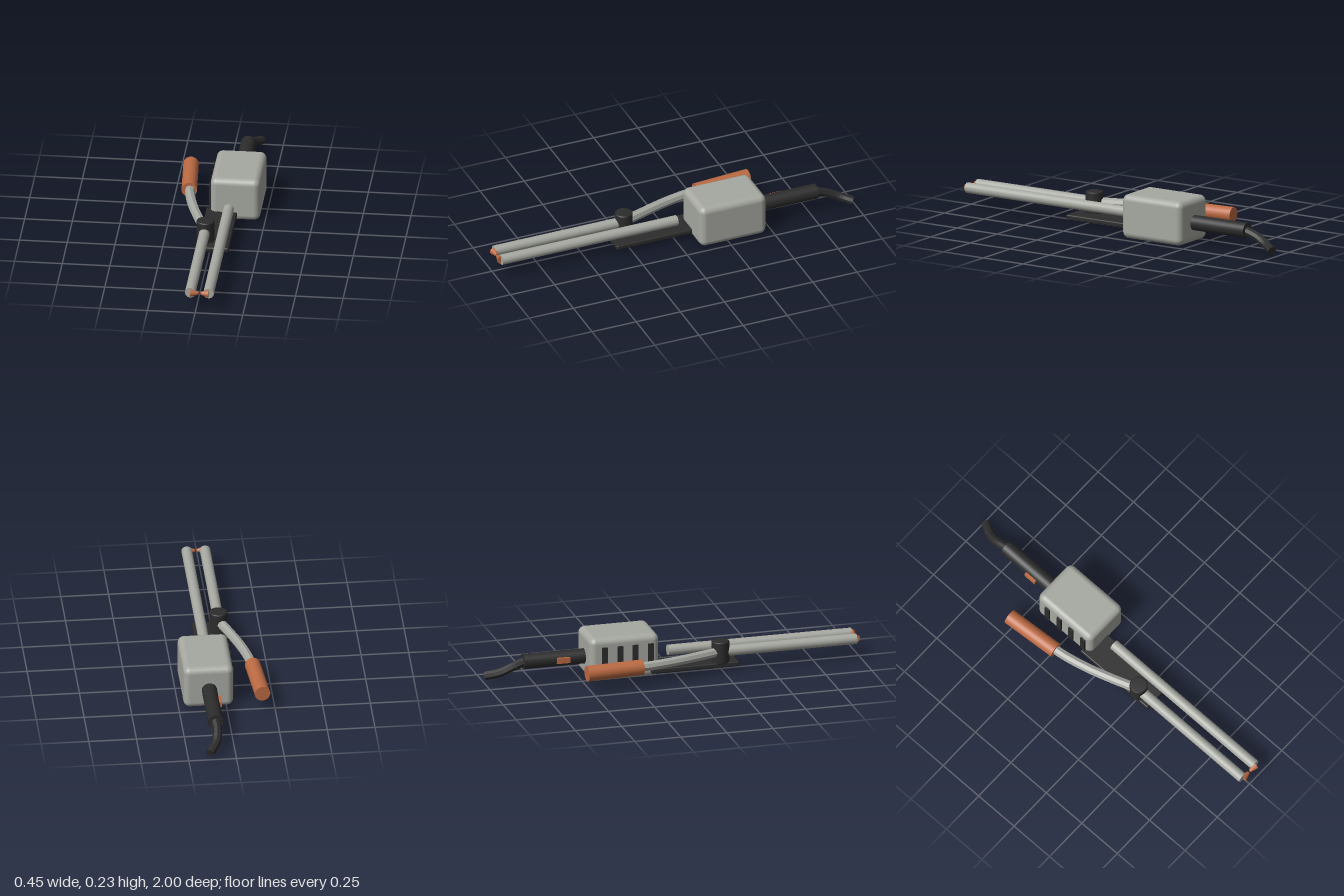
import * as THREE from 'three';
import { RoundedBoxGeometry } from 'three/addons/geometries/RoundedBoxGeometry.js';

const V = (x, y, z) => new THREE.Vector3(x, y, z);

export function createModel() {
  const group = new THREE.Group();
  const material = (name, color, flatShading = false) => {
    const m = new THREE.MeshStandardMaterial({ color, flatShading });
    m.name = name;
    return m;
  };
  const grey = material('grey metal', 0xa6a8a1);
  const greyFlat = material('grey faceted metal', 0xa6a8a1, true);
  const black = material('black rubber', 0x2c2c2c);
  const blackFlat = material('black faceted rubber', 0x2c2c2c, true);
  const copper = material('copper', 0xbb6a42);

  const add = (name, geometry, mat, position) => {
    const mesh = new THREE.Mesh(geometry, mat);
    mesh.name = name;
    if (position) mesh.position.copy(position);
    group.add(mesh);
    return mesh;
  };
  // Tapered cylinder between two points
  const rod = (name, a, b, ra, rb, mat, sides = 24) => {
    const dir = b.clone().sub(a);
    const mesh = add(name, new THREE.CylinderGeometry(rb, ra, dir.length(), sides), mat,
      a.clone().add(b).multiplyScalar(0.5));
    mesh.quaternion.setFromUnitVectors(V(0, 1, 0), dir.normalize());
    return mesh;
  };
  // Faceted bent tube with a flat cap on its far end
  const bentTube = (name, points, radius, mat) => {
    const curve = new THREE.CatmullRomCurve3(points);
    add(name, new THREE.TubeGeometry(curve, 12, radius, 8), mat);
    const end = curve.getPoint(1);
    const cap = add(name + 'End', new THREE.CircleGeometry(radius, 8), mat, end);
    cap.lookAt(end.clone().add(curve.getTangent(1)));
  };

  // Transformer housing with cooling slots on its side
  add('housing', new RoundedBoxGeometry(0.26, 0.235, 0.375, 5, 0.034), grey, V(0.093, 0.12, -0.278));
  for (let i = 0; i < 4; i++) {
    add('coolingSlot', new THREE.BoxGeometry(0.018, 0.14, 0.03), black, V(-0.037, 0.12, -0.388 + i * 0.083));
  }

  // Mounting plate under the arms
  add('mountingPlate', new RoundedBoxGeometry(0.164, 0.026, 0.475, 3, 0.007), black, V(0.022, 0.0395, 0.0975));

  // Electrode arms
  const armY = 0.107;
  rod('fixedArm', V(0.068, armY, -0.018), V(0.068, armY, 0.977), 0.028, 0.028, grey);
  rod('movingArm', V(-0.028, armY, 0.24), V(-0.028, armY, 0.977), 0.028, 0.028, grey);

  // Electrode tips facing each other
  rod('movingTip', V(-0.026, armY, 0.979), V(0.016, armY, 0.979), 0.021, 0.008, copper, 16);
  rod('fixedTip', V(0.068, armY, 0.979), V(0.026, armY, 0.979), 0.021, 0.008, copper, 16);

  // Pivot post with softened rims
  const rims = [[0, 0], [0.041, 0], [0.045, 0.002], [0.047, 0.006], [0.047, 0.112],
    [0.045, 0.116], [0.041, 0.118], [0, 0.118]];
  add('pivotPost', new THREE.LatheGeometry(rims.map(([x, y]) => new THREE.Vector2(x, y)), 24),
    black, V(-0.026, 0.048, 0.242));

  // Curved lever and its grip
  bentTube('lever', [V(-0.028, armY, 0.24), V(-0.075, armY, 0.11), V(-0.122, armY, -0.04),
    V(-0.152, armY, -0.18), V(-0.158, armY, -0.24)], 0.026, greyFlat);
  rod('leverGrip', V(-0.16, armY, -0.22), V(-0.183, armY, -0.526), 0.041, 0.041, copper);

  // Rear handle, trigger and cable
  rod('rearHandle', V(0.09, 0.11, -0.45), V(0.09, 0.11, -0.797), 0.04, 0.04, black);
  add('trigger', new THREE.BoxGeometry(0.03, 0.03, 0.07), copper, V(0.054, 0.11, -0.588));
  bentTube('cable', [V(0.09, 0.11, -0.785), V(0.086, 0.085, -0.855), V(0.1, 0.055, -0.92),
    V(0.138, 0.033, -0.985)], 0.024, blackFlat);

  return group;
}
